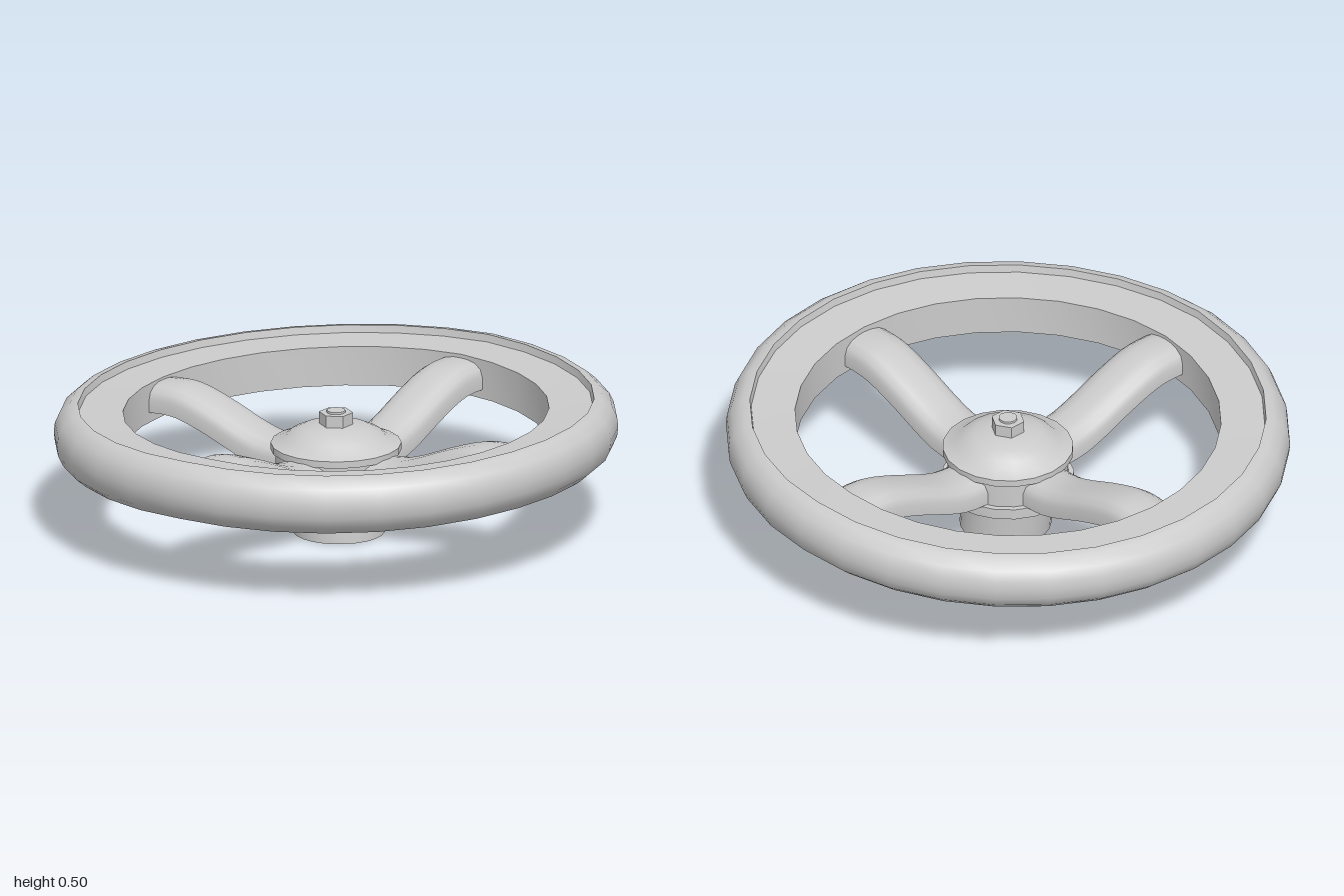
import * as THREE from 'three';
import { toCreasedNormals } from 'three/addons/utils/BufferGeometryUtils.js';

const material = new THREE.MeshStandardMaterial({ color: 0xcccccc });

function addMesh(parent, name, geometry, crease = 0.7) {
  const mesh = new THREE.Mesh(toCreasedNormals(geometry, crease), material);
  mesh.name = name;
  parent.add(mesh);
  return mesh;
}

// Revolve [radius, height] pairs listed from bottom to top along the outside
const lathe = (pairs, sides) =>
  new THREE.LatheGeometry(pairs.map(([r, y]) => new THREE.Vector2(r, y)), sides);

// Slight warp of the rim: dips towards -x, lifts at +x
const warp = (x) => (x < 0 ? 0.04 * x : 0.02 * x ** 4);

function rimGeometry() {
  const half = [[0.755, 0.072], [0.91, 0.078], [0.915, 0.105], [0.945, 0.1], [0.98, 0.07], [0.996, 0.035]];
  const lower = half.map(([r, h]) => [r, 0.385 - h]);
  const upper = half.map(([r, h]) => [r, 0.385 + h]).reverse();
  const geometry = lathe([...lower, [1, 0.385], ...upper, lower[0]], 32);
  const p = geometry.attributes.position;
  for (let i = 0; i < p.count; i++) p.setY(i, p.getY(i) + warp(p.getX(i)));
  return geometry;
}

// S-curved arm with a flat underside and rounded top, lofted along +x
function spokeGeometry(drop) {
  const bottom = new THREE.SplineCurve([[0.12, 0.207], [0.26, 0.212], [0.36, 0.24], [0.48, 0.29],
    [0.6, 0.333], [0.68, 0.347], [0.78, 0.345]].map(([x, y]) => new THREE.Vector2(x, y)));
  const section = [[-0.1, 0], [-0.1, 0.045], [-0.09, 0.073], [-0.065, 0.09], [-0.03, 0.097],
    [0.03, 0.097], [0.065, 0.09], [0.09, 0.073], [0.1, 0.045], [0.1, 0]];
  const n = section.length, steps = 14, positions = [], index = [];
  for (let i = 0; i <= steps; i++) {
    const c = bottom.getPoint(i / steps);
    for (const [z, h] of section) positions.push(c.x, c.y + h + drop * c.x ** 2, z);
  }
  for (let i = 0; i < steps; i++) {
    for (let j = 0; j < n; j++) {
      const k = (j + 1) % n;
      const a = i * n + j, b = i * n + k, c = a + n, d = b + n;
      index.push(a, b, d, a, d, c);
    }
  }
  const geometry = new THREE.BufferGeometry();
  geometry.setAttribute('position', new THREE.Float32BufferAttribute(positions, 3));
  geometry.setIndex(index);
  return geometry;
}

export function createModel() {
  const wheel = new THREE.Group();
  wheel.name = 'handwheel';

  addMesh(wheel, 'rim', rimGeometry());

  // Four arms; the one on -x sits lower to follow the rim
  for (let i = 0; i < 4; i++) {
    const spoke = addMesh(wheel, 'spoke', spokeGeometry(i === 2 ? -0.045 : 0));
    spoke.rotation.y = i * Math.PI / 2;
  }

  // Hub: bottom flange, neck and domed cap
  addMesh(wheel, 'hub', lathe([
    [0, 0.165], [0.235, 0.165], [0.235, 0.205], [0.215, 0.205], [0.215, 0.3],
    [0.232, 0.3], [0.232, 0.325], [0.185, 0.343], [0.165, 0.362], [0.12, 0.383], [0.06, 0.394], [0, 0.396],
  ], 20), 0.5);

  // Slightly leaning shaft
  const shaft = new THREE.CylinderGeometry(0.165, 0.163, 0.18, 24);
  const p = shaft.attributes.position;
  for (let i = 0; i < p.count; i++) p.setX(i, p.getX(i) + 0.004 - p.getY(i) * 0.1);
  shaft.translate(0, 0.09, 0);
  addMesh(wheel, 'shaft', shaft);

  // Hexagonal nut with the stud end showing on top
  const nut = new THREE.CylinderGeometry(0.06, 0.06, 0.055, 6);
  addMesh(wheel, 'nut', nut, 0.3).position.y = 0.41;
  const stud = new THREE.CylinderGeometry(0.033, 0.035, 0.06, 12);
  addMesh(wheel, 'stud', stud).position.y = 0.415;

  return wheel;
}
